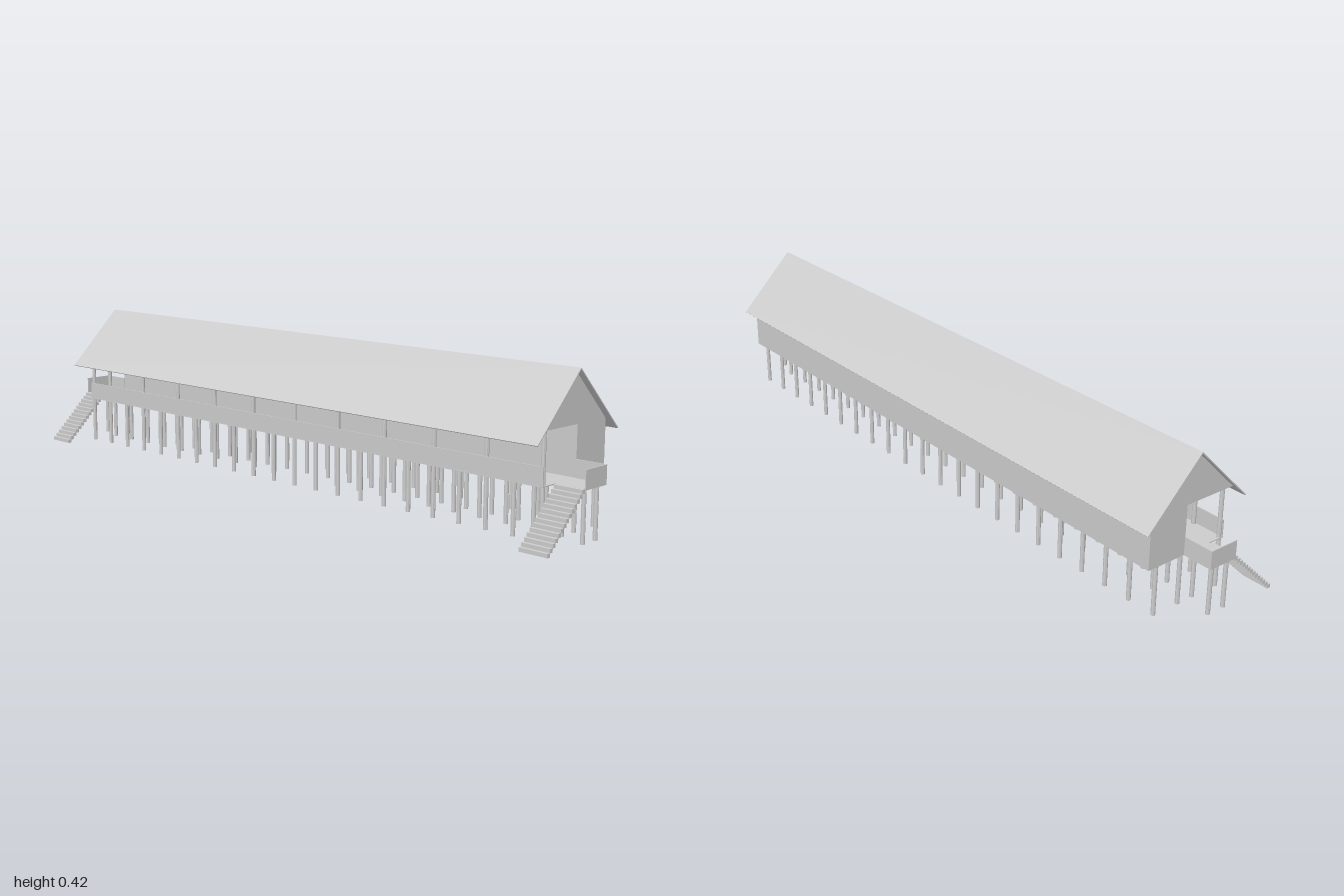
import * as THREE from 'three';

const mat = new THREE.MeshStandardMaterial({ color: 0xcccccc, flatShading: true, side: THREE.DoubleSide });
const FLOOR = 0.142, PLATE = 0.278, RIDGE_X = 0.02, RIDGE_Y = 0.422, END = 0.911;

function add(parent, name, geometry, x = 0, y = 0, z = 0) {
  const mesh = new THREE.Mesh(geometry, mat);
  mesh.name = name;
  mesh.position.set(x, y, z);
  parent.add(mesh);
  return mesh;
}

// Box given by its limits on each axis
function box(parent, name, x0, x1, y0, y1, z0, z1) {
  return add(parent, name, new THREE.BoxGeometry(x1 - x0, y1 - y0, z1 - z0),
    (x0 + x1) / 2, (y0 + y1) / 2, (z0 + z1) / 2);
}

// Round post standing on the ground
function post(parent, name, x, z, height) {
  add(parent, name, new THREE.CylinderGeometry(0.006, 0.006, height, 8), x, height / 2, z);
}

// Landing with parapets and a flight of steps, built for the +z end
function makePorch(side) {
  const porch = new THREE.Group();
  porch.name = side > 0 ? 'frontPorch' : 'backPorch';
  const span = (a, b) => (side > 0 ? [a, b] : [-b, -a]);
  box(porch, 'porchFloor', -0.048, 0.04, 0.139, FLOOR, ...span(END, 1));
  box(porch, 'porchEndWall', -0.048, 0.04, 0.139, 0.19, ...span(0.997, 1));
  box(porch, 'porchSideWall', 0.037, 0.04, 0.139, 0.19, ...span(END, 1));
  for (const x of [-0.032, 0.021]) post(porch, 'porchPost', x, side * 0.985, 0.139);

  const stairs = new THREE.Group();
  stairs.name = 'stairs';
  porch.add(stairs);
  const steps = 14;
  for (let i = 0; i < steps; i++) {
    const x = -0.193 + i * 0.0104, y = i * 0.0101;
    box(stairs, 'step', x, x + 0.0106, y, y + 0.0106, ...span(0.914, 0.998));
  }
  return porch;
}

export function createModel() {
  const house = new THREE.Group();
  house.name = 'stiltHouse';

  // Rows of stilts; the outer veranda row carries the roof on every second post
  const stilts = new THREE.Group();
  stilts.name = 'stilts';
  house.add(stilts);
  const rows = 22;
  for (let i = 0; i < rows; i++) {
    const z = 0.905 - (i * 1.81) / (rows - 1);
    const tall = i % 2 === 0 || i === rows - 1;
    post(stilts, tall ? 'verandaPost' : 'stilt', -0.09, z, tall ? PLATE : 0.139);
    for (const x of [-0.006, 0.046, 0.13]) post(stilts, 'stilt', x, z, 0.139);
  }

  // Platform, closed rooms and the low veranda wall
  box(house, 'floor', -0.099, 0.161, 0.139, FLOOR, -END, END);
  box(house, 'rooms', 0.039, 0.161, FLOOR, PLATE, -END, END);
  box(house, 'verandaParapet', -0.098, -0.095, FLOOR, 0.19, -END, END);

  // Gable ends
  const half = RIDGE_Y - 0.002 - PLATE;
  const triangle = new THREE.Shape([
    new THREE.Vector2(-half, 0), new THREE.Vector2(half, 0), new THREE.Vector2(0, half),
  ]);
  const gable = new THREE.ExtrudeGeometry(triangle, { depth: 0.003, bevelEnabled: false });
  add(house, 'frontGable', gable, RIDGE_X, PLATE, END - 0.003);
  add(house, 'backGable', gable, RIDGE_X, PLATE, -END);

  // Two thin roof slopes in one chevron section
  const drop = 0.17, t = 0.004;
  const chevron = new THREE.Shape([
    [0, 0], [-drop, -drop], [-drop + t / 2, -drop - t / 2],
    [0, -t], [drop - t / 2, -drop - t / 2], [drop, -drop],
  ].map(([x, y]) => new THREE.Vector2(x, y)));
  const roof = new THREE.ExtrudeGeometry(chevron, { depth: 1.86, bevelEnabled: false });
  add(house, 'roof', roof, RIDGE_X, RIDGE_Y, -0.93);

  // Porches at both ends
  house.add(makePorch(1), makePorch(-1));
  return house;
}
